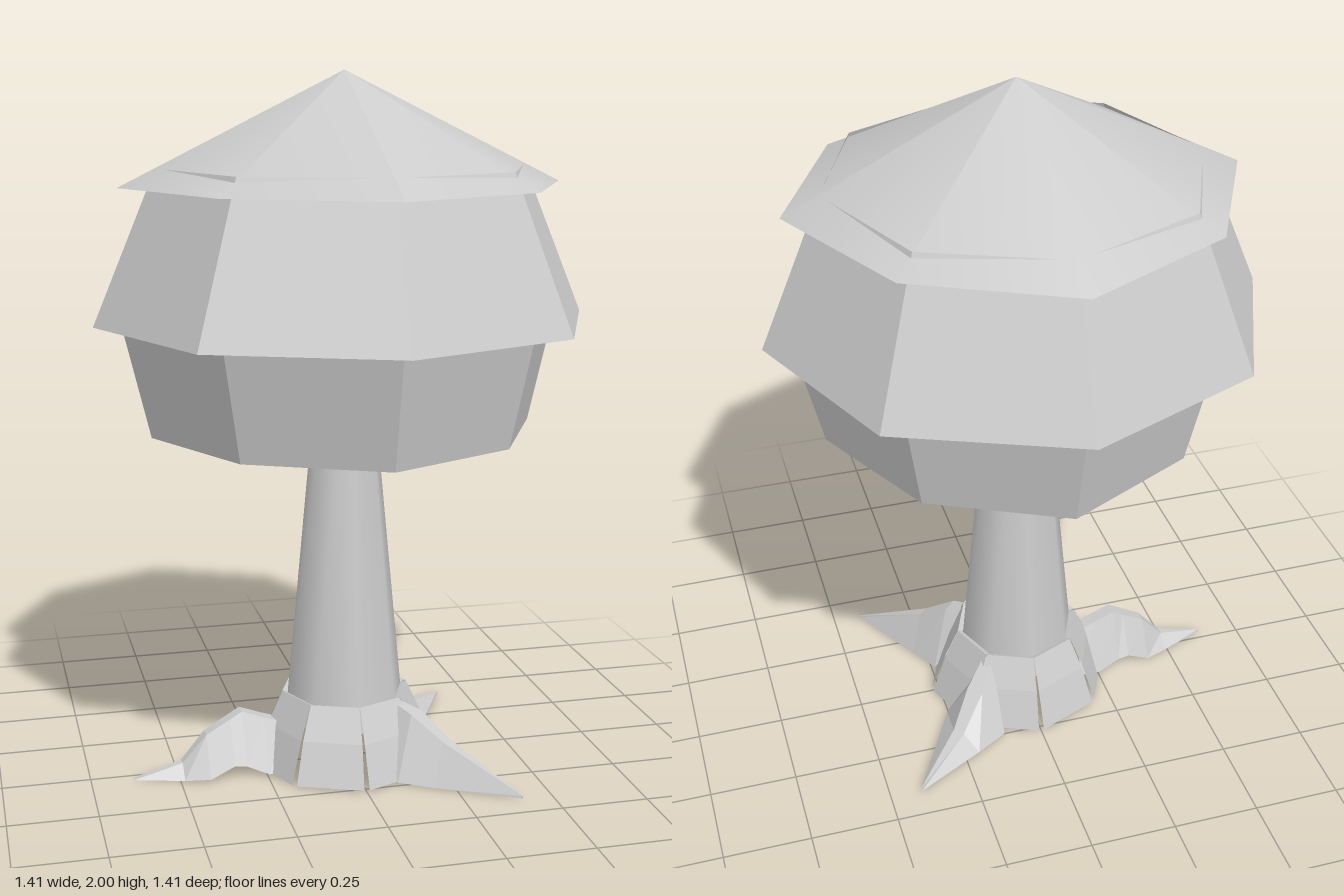
import * as THREE from 'three';

const flat = new THREE.MeshStandardMaterial({ color: 0xcccccc, flatShading: true, side: THREE.DoubleSide });
const smooth = new THREE.MeshStandardMaterial({ color: 0xcccccc, side: THREE.DoubleSide });

function add(group, name, geometry, material = flat) {
  const mesh = new THREE.Mesh(geometry, material);
  mesh.name = name;
  group.add(mesh);
  return mesh;
}

// Open eight-sided ring with corners on the axes; diagonal corners are scaled by diag
function tier(rTop, yTop, rBottom, yBottom, diag) {
  const g = new THREE.CylinderGeometry(rTop, rBottom, yTop - yBottom, 8, 1, true);
  g.translate(0, (yTop + yBottom) / 2, 0);
  const p = g.attributes.position;
  for (let i = 0; i < p.count; i++) {
    if (Math.abs(p.getX(i)) > 0.01 && Math.abs(p.getZ(i)) > 0.01) {
      p.setXYZ(i, p.getX(i) * diag, p.getY(i), p.getZ(i) * diag);
    }
  }
  g.computeVertexNormals();
  return g;
}

// Skin a grid of points (rows of equal length)
function skin(rows) {
  const n = rows[0].length, index = [];
  for (let i = 0; i < rows.length - 1; i++) {
    for (let j = 0; j < n - 1; j++) {
      const a = i * n + j, b = a + n;
      index.push(a, a + 1, b, b, a + 1, b + 1);
    }
  }
  const g = new THREE.BufferGeometry();
  g.setAttribute('position', new THREE.Float32BufferAttribute(rows.flat(2), 3));
  g.setIndex(index);
  g.computeVertexNormals();
  return g;
}

// Root along +x, open below; stations are [distance, half width, top, bottom]
function root(stations) {
  return skin(stations.map(([d, w, top, low]) => [
    [d, low, -w], [d, top, -w * 0.25], [d, top, w * 0.25], [d, low, w],
  ]));
}

export function createModel() {
  const model = new THREE.Group();
  model.name = 'tree';

  // Trunk tapers up into the hollow crown
  const trunk = new THREE.CylinderGeometry(0.067, 0.178, 1.17, 8);
  trunk.translate(0, 0.14 + 1.17 / 2, 0);
  add(model, 'trunk', trunk, smooth);

  // Crown tiers, each a hollow octagonal shell
  add(model, 'lowerCrown', tier(0.625, 1.315, 0.55, 1.0, 0.945));
  add(model, 'middleCrown', tier(0.524, 1.74, 0.703, 1.315, 0.995));
  add(model, 'roofCrown', tier(0, 2, 0.628, 1.69, 0.948), smooth);

  // Ceiling inside the lower crown
  const ceiling = add(model, 'crownCeiling', new THREE.CircleGeometry(0.6, 8));
  ceiling.rotation.x = Math.PI / 2;
  ceiling.position.y = 1.315;

  // Flared bark panels round the foot, with narrow gaps that widen downward
  const profile = [[0.165, 0.215, 0], [0.187, 0.225, 0.01], [0.232, 0.13, 0.02], [0.275, 0.01, 0.04]];
  const bark = new THREE.Group();
  bark.name = 'barkPanels';
  model.add(bark);
  for (let k = 0; k < 8; k++) {
    const corner = (r, y, i) => [r * Math.sin(i * Math.PI / 4), y, r * Math.cos(i * Math.PI / 4)];
    const rows = profile.map(([r, y, gap]) => {
      const a = corner(r, y, k), b = corner(r, y, k + 1);
      return [gap, 1 - gap].map((t) => a.map((v, j) => v + (b[j] - v) * t));
    });
    add(bark, 'barkPanel', skin(rows));
  }

  // Three spreading roots
  const frontRoot = add(model, 'frontLeftRoot', root([
    [0.18, 0.06, 0.21, 0.1], [0.24, 0.1, 0.19, 0.01], [0.34, 0.07, 0.125, 0.005], [0.585, 0.002, 0.012, 0.005],
  ]));
  frontRoot.rotation.y = -Math.PI / 4;

  const backRoot = add(model, 'backLeftRoot', root([
    [0.18, 0.06, 0.21, 0.1], [0.26, 0.1, 0.14, 0.01], [0.36, 0.07, 0.055, 0.005], [0.58, 0.002, 0.014, 0.005],
  ]));
  backRoot.rotation.y = Math.PI / 4;

  const archedRoot = add(model, 'rightArchedRoot', root([
    [0.19, 0.08, 0.14, 0.01], [0.25, 0.085, 0.16, 0.01], [0.315, 0.08, 0.185, 0.04],
    [0.35, 0.08, 0.165, 0.045], [0.42, 0.075, 0.125, 0.01], [0.49, 0.05, 0.045, 0.005], [0.63, 0.002, 0.012, 0.005],
  ]));
  archedRoot.rotation.y = Math.PI + 0.05;

  return model;
}
